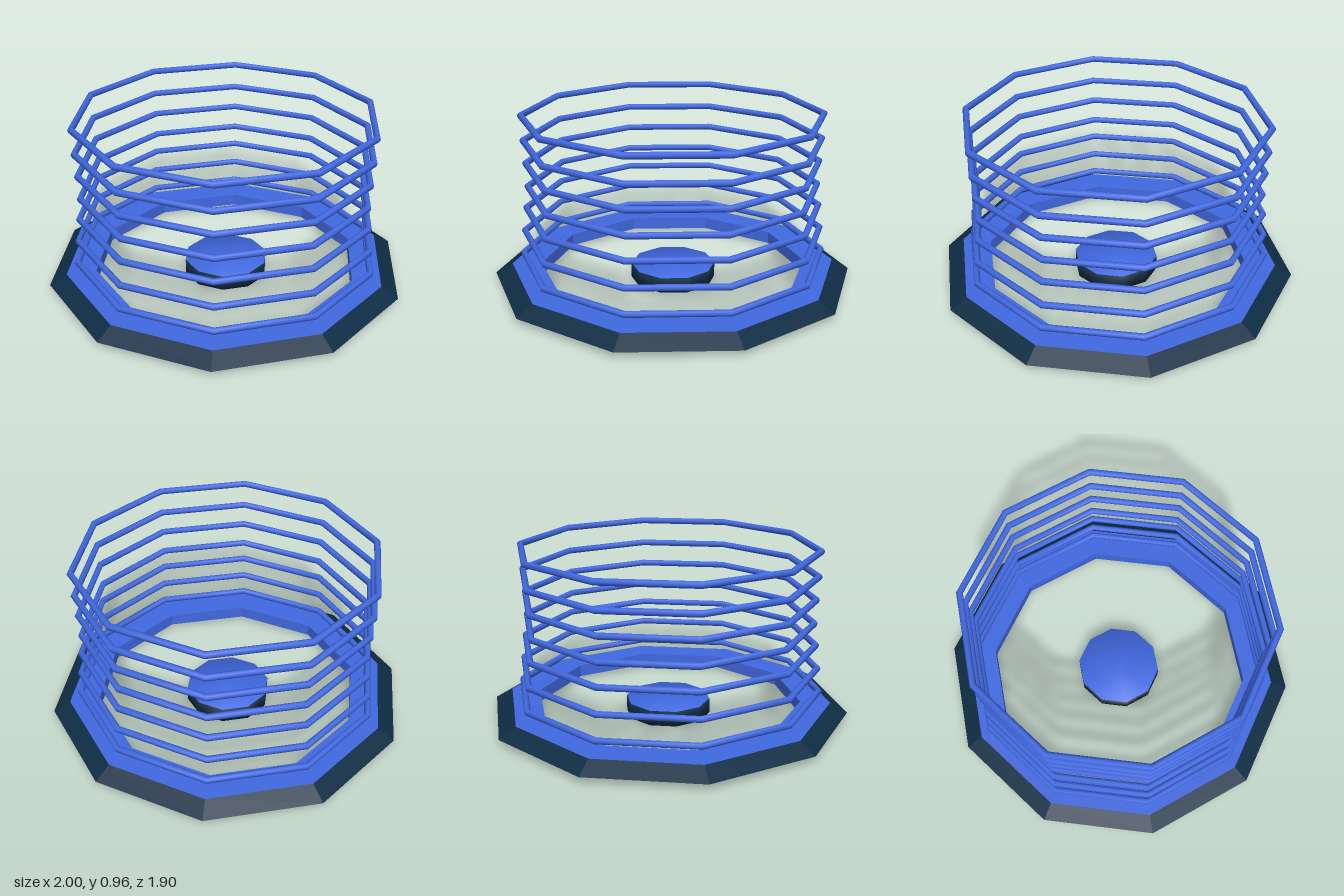
import * as THREE from 'three';
import { mergeVertices } from 'three/addons/utils/BufferGeometryUtils.js';

const SIDES = 10;

export function createModel() {
  const group = new THREE.Group();
  const mat = (name, color) => Object.assign(new THREE.MeshStandardMaterial({ color }), { name });
  const blue = mat('blue', 0x4169e1);
  const navy = mat('dark navy', 0x0f2d44);
  const black = mat('black', 0x050505);

  const add = (name, geometry, material) => {
    const mesh = new THREE.Mesh(geometry, material);
    mesh.name = name;
    group.add(mesh);
    return mesh;
  };

  // Ten-sided faceted band swept from an [radius, height] profile
  const band = (name, profile, material) => {
    const points = profile.map(([r, y]) => new THREE.Vector2(r, y));
    const geometry = new THREE.LatheGeometry(points, SIDES, Math.PI / 2).toNonIndexed();
    geometry.computeVertexNormals();
    return add(name, geometry, material);
  };

  // Bevelled base ring
  band('baseLowerEdge', [[0.93, 0.02], [1, 0.035]], black);
  band('baseBevel', [[1, 0.035], [0.905, 0.09]], navy);
  band('basePlate', [[0.905, 0.09], [0.74, 0.09], [0.74, 0.02], [0.93, 0.02]], blue);

  // Central disc with softly shaded caps and a dark rim
  const disc = new THREE.CylinderGeometry(0.235, 0.235, 0.085, SIDES, 1, false, Math.PI / 2);
  const groups = disc.groups.map((g) => ({ ...g }));
  disc.deleteAttribute('uv');
  disc.deleteAttribute('normal');
  const softDisc = mergeVertices(disc);
  softDisc.computeVertexNormals();
  softDisc.clearGroups();
  groups.forEach((g) => softDisc.addGroup(g.start, g.count, g.materialIndex));
  add('centreDisc', softDisc, [navy, blue, blue]).position.y = 0.0425;

  // Stack of floating rings, slightly waisted: [height, outer radius]
  const tube = 0.018;
  [
    [0.155, 0.855], [0.288, 0.842], [0.422, 0.828], [0.545, 0.815],
    [0.677, 0.82], [0.805, 0.828], [0.943, 0.834],
  ].forEach(([y, outer], i) => {
    const geometry = new THREE.TorusGeometry(outer - tube, tube, 8, SIDES).rotateX(Math.PI / 2);
    add(`floatingRing${i + 1}`, geometry, blue).position.y = y;
  });

  return group;
}
